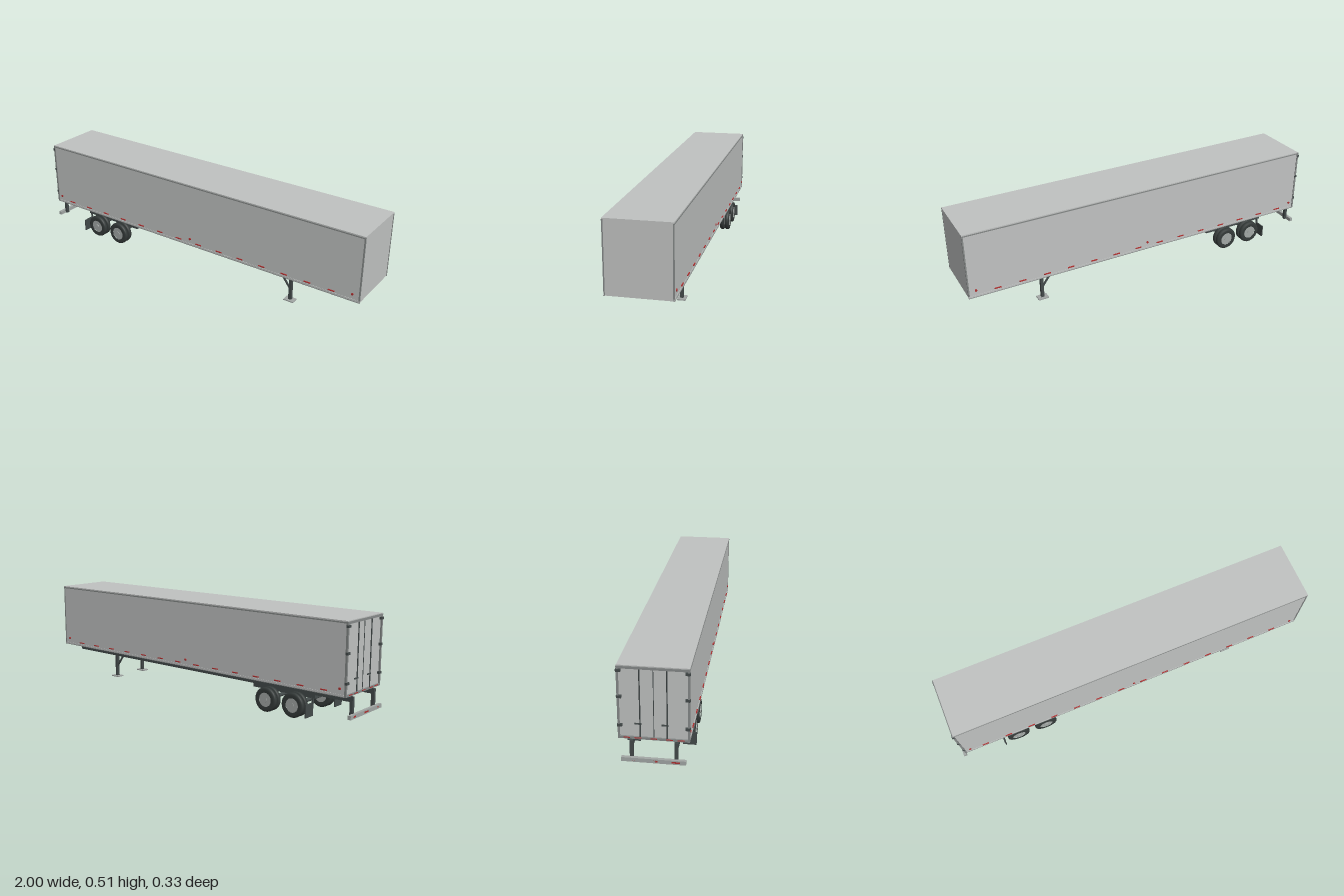
import * as THREE from 'three';

const mat = (name, color) => {
  const m = new THREE.MeshStandardMaterial({ color });
  m.name = name;
  return m;
};

export function createModel() {
  const root = new THREE.Group();
  root.name = 'boxTrailer';
  const panel = mat('panelGrey', 0xc0c2c1);
  const trim = mat('trimGrey', 0x858988);
  const steel = mat('chassisSteel', 0x434a4a);
  const rubber = mat('tyreRubber', 0x343a39);
  const alloy = mat('bareMetal', 0xa2a7a5);
  const red = mat('markerRed', 0xb03030);

  const add = (name, geo, m, x, y, z, parent = root) => {
    const mesh = new THREE.Mesh(geo, m);
    mesh.name = name;
    mesh.position.set(x, y, z);
    parent.add(mesh);
    return mesh;
  };
  // Box given by its minimum and maximum on each axis
  const box = (name, m, x0, x1, y0, y1, z0, z1) =>
    add(name, new THREE.BoxGeometry(x1 - x0, y1 - y0, z1 - z0), m,
      (x0 + x1) / 2, (y0 + y1) / 2, (z0 + z1) / 2);
  // The same box on both sides of the trailer
  const pair = (name, m, x0, x1, y0, y1, z0, z1) => {
    box(name + 'Left', m, x0, x1, y0, y1, z0, z1);
    box(name + 'Right', m, x0, x1, y0, y1, -z1, -z0);
  };

  // Cargo body with rails and corner posts
  box('cargoBody', panel, -0.972, 0.998, 0.155, 0.508, -0.157, 0.157);
  box('roofCap', panel, -0.975, 1, 0.504, 0.51, -0.159, 0.159);
  pair('topRail', trim, -0.975, 1, 0.498, 0.504, 0.155, 0.16);
  pair('bottomRail', panel, -0.975, 1, 0.154, 0.166, 0.155, 0.159);
  pair('bottomRailLip', trim, -0.975, 1, 0.154, 0.157, 0.155, 0.16);
  pair('nosePost', trim, 0.993, 1, 0.155, 0.504, 0.153, 0.159);
  pair('rearPost', trim, -0.98, -0.97, 0.155, 0.504, 0.151, 0.16);

  // Rear doors
  box('rearHeader', trim, -0.98, -0.97, 0.495, 0.506, -0.16, 0.16);
  box('rearSill', trim, -0.98, -0.97, 0.155, 0.166, -0.16, 0.16);
  box('doorSeam', steel, -0.974, -0.971, 0.166, 0.495, -0.0015, 0.0015);
  const rod = new THREE.CylinderGeometry(0.003, 0.003, 0.335, 8);
  for (const z of [-0.06, 0.06]) {
    add('lockRod', rod, steel, -0.977, 0.33, z);
    box('lockHandle', steel, -0.98, -0.975, 0.228, 0.234, z - 0.025, z + 0.006);
  }
  for (const y of [0.22, 0.36, 0.485]) pair('hinge', steel, -0.983, -0.971, y - 0.006, y + 0.006, 0.14, 0.162);
  for (const z of [-0.12, -0.07, 0, 0.07, 0.12]) {
    box('rearTape', red, -0.982, -0.979, 0.16, 0.164, z - 0.015, z + 0.015);
  }

  // Side reflectors and marker lamps
  for (let i = 0; i < 14; i++) {
    const x = -0.86 + i * 0.1315;
    pair('sideReflector', red, x - 0.018, x + 0.018, 0.172, 0.177, 0.156, 0.162);
  }
  const lamp = new THREE.CylinderGeometry(0.006, 0.006, 0.006, 12).rotateX(Math.PI / 2);
  for (const x of [-0.945, 0.005, 0.96]) {
    for (const s of [-1, 1]) add('markerLamp', lamp, red, x, 0.193, s * 0.159);
  }

  // Chassis rails, bogie frame and kingpin
  pair('chassisRail', steel, -0.975, 0.91, 0.125, 0.15, 0.091, 0.11);
  pair('railMount', steel, -0.975, 0.91, 0.148, 0.156, 0.097, 0.103);
  box('bogieFrame', steel, -0.78, -0.412, 0.105, 0.126, -0.105, 0.105);
  add('kingpin', new THREE.CylinderGeometry(0.008, 0.006, 0.048, 12), alloy, 0.81, 0.132, 0);

  // Landing gear: legs, feet and slanted braces
  pair('landingLeg', steel, 0.592, 0.608, 0.004, 0.126, 0.094, 0.11);
  pair('landingFoot', alloy, 0.572, 0.628, 0, 0.006, 0.083, 0.124);
  for (const s of [-1, 1]) {
    const brace = add('landingBrace', new THREE.BoxGeometry(0.008, 0.085, 0.008), steel, 0.575, 0.094, s * 0.102);
    brace.rotation.z = Math.atan2(0.05, 0.068);
  }

  // Rear impact guard
  pair('guardPost', steel, -0.986, -0.97, 0.052, 0.15, 0.092, 0.108);
  box('guardBar', alloy, -1, -0.984, 0.05, 0.07, -0.145, 0.145);
  for (const z of [-0.1, 0, 0.1]) box('guardTape', red, -1, -0.998, 0.056, 0.064, z - 0.018, z + 0.018);

  // Mud flaps hung behind the wheels
  pair('mudFlap', steel, -0.769, -0.763, 0.018, 0.084, 0.1, 0.164);
  pair('mudFlapHanger', steel, -0.77, -0.762, 0.08, 0.11, 0.098, 0.106);

  // Tandem axles with twin wheels
  const profile = [
    [0.036, -0.011], [0.05, -0.0125], [0.058, -0.011], [0.0615, -0.007],
    [0.0625, 0], [0.0615, 0.007], [0.058, 0.011], [0.05, 0.0125], [0.036, 0.011],
  ].map(([r, h]) => new THREE.Vector2(r, h));
  const tyreGeo = new THREE.LatheGeometry(profile, 28).rotateX(Math.PI / 2);
  const rimGeo = new THREE.CylinderGeometry(0.0365, 0.0365, 0.019, 24).rotateX(Math.PI / 2);
  const hubGeo = new THREE.CylinderGeometry(0.011, 0.013, 0.008, 12).rotateX(Math.PI / 2);
  const axleGeo = new THREE.CylinderGeometry(0.01, 0.01, 0.26, 12).rotateX(Math.PI / 2);
  for (const x of [-0.68, -0.52]) {
    const set = new THREE.Group();
    set.name = 'axleSet';
    set.position.set(x, 0.0635, 0);
    root.add(set);
    add('axle', axleGeo, steel, 0, 0, 0, set);
    for (const s of [-1, 1]) {
      add('axleHanger', new THREE.BoxGeometry(0.03, 0.05, 0.012), steel, 0, 0.022, s * 0.08, set);
      for (const z of [0.112, 0.142]) {
        add('tyre', tyreGeo, rubber, 0, 0, s * z, set);
        add('rim', rimGeo, alloy, 0, 0, s * z, set);
      }
      add('hub', hubGeo, alloy, 0, 0, s * 0.151, set);
    }
  }
  return root;
}
